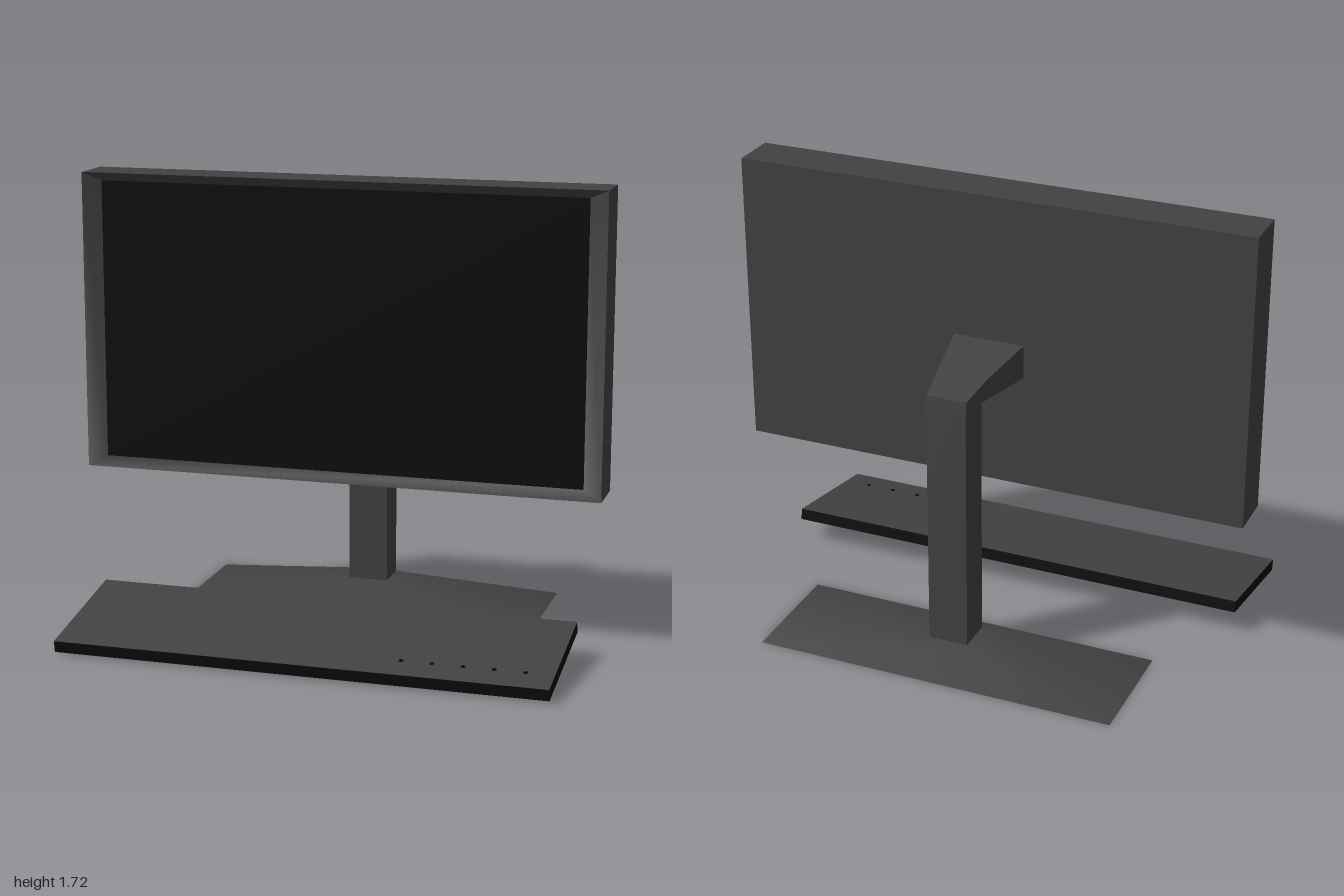
import * as THREE from 'three';
import { toCreasedNormals } from 'three/addons/utils/BufferGeometryUtils.js';

// Four-cornered section, symmetric in x: a near edge and a far edge, each [halfWidth, y, z]
function section([w0, y0, z0], [w1, y1, z1]) {
  return [[-w0, y0, z0], [w0, y0, z0], [w1, y1, z1], [-w1, y1, z1]];
}

// Joins successive sections with quads and optionally closes the ends
function loft(sections, capStart = true, capEnd = true) {
  const pos = [];
  const quad = (a, b, c, d) => pos.push(...a, ...b, ...c, ...a, ...c, ...d);
  for (let s = 0; s < sections.length - 1; s++) {
    const a = sections[s], b = sections[s + 1];
    for (let i = 0; i < 4; i++) {
      const j = (i + 1) % 4;
      quad(a[i], a[j], b[j], b[i]);
    }
  }
  if (capStart) quad(...[...sections[0]].reverse());
  if (capEnd) quad(...sections[sections.length - 1]);
  const geo = new THREE.BufferGeometry();
  geo.setAttribute('position', new THREE.Float32BufferAttribute(pos, 3));
  return toCreasedNormals(geo, THREE.MathUtils.degToRad(40));
}

export function createModel() {
  const model = new THREE.Group();
  model.name = 'monitorAndKeyboard';

  const grey = new THREE.MeshStandardMaterial({ color: 0x424242 });
  grey.name = 'dark grey plastic';
  const black = new THREE.MeshStandardMaterial({ color: 0x0c0c0c });
  black.name = 'black';

  const add = (name, geo, mat, parent = model) => {
    const mesh = new THREE.Mesh(geo, mat);
    mesh.name = name;
    parent.add(mesh);
    return mesh;
  };

  // Monitor housing with a bezel sloping in to the recessed screen
  const inner = section([0.93, 0.625, 0.075], [0.93, 1.69, 0.075]);
  add('monitorHousing', loft([
    section([1, 0.587, -0.085], [1, 1.722, -0.085]),
    section([1, 0.587, 0.1], [1, 1.722, 0.1]),
    inner,
  ], true, false), grey);
  add('screen', loft([inner], false, true), black);

  // Stand post bending forward into a widening arm
  add('standArm', loft([
    section([0.077, 0.08, -0.335], [0.077, 0.08, -0.475]),
    section([0.077, 1.03, -0.335], [0.077, 1.03, -0.475]),
    section([0.077, 1.03, -0.335], [0.077, 1.09, -0.465]),
    section([0.077, 1.03, -0.335], [0.098, 1.125, -0.33]),
    section([0.138, 1.03, -0.085], [0.138, 1.16, -0.085]),
  ]), grey);

  // Stand foot, a low pyramid rising to the post
  add('standFoot', loft([
    section([0.705, 0, -0.175], [0.705, 0, -0.637]),
    section([0.077, 0.087, -0.335], [0.077, 0.087, -0.475]),
  ]), grey);

  // Tilted keyboard: black slab with a grey top face
  const keyboard = new THREE.Group();
  keyboard.name = 'keyboard';
  model.add(keyboard);
  const top = section([0.928, 0.052, 0.637], [0.928, 0.14, 0.13]);
  add('keyboardBody', loft([
    section([0.928, 0.008, 0.629], [0.928, 0.096, 0.122]),
    top,
  ], true, false), black, keyboard);
  add('keyboardTop', loft([top], false, true), grey, keyboard);

  // Row of small marks near the front edge
  const tilt = Math.atan2(0.088, 0.507);
  const mark = new THREE.CylinderGeometry(0.009, 0.009, 0.002, 8);
  for (const x of [0.37, 0.483, 0.597, 0.71, 0.823]) {
    const dot = add('keyboardMark', mark, black, keyboard);
    dot.position.set(x, 0.052 + (0.637 - 0.535) * Math.tan(tilt) + 0.001, 0.535);
    dot.rotation.x = tilt;
  }

  return model;
}
